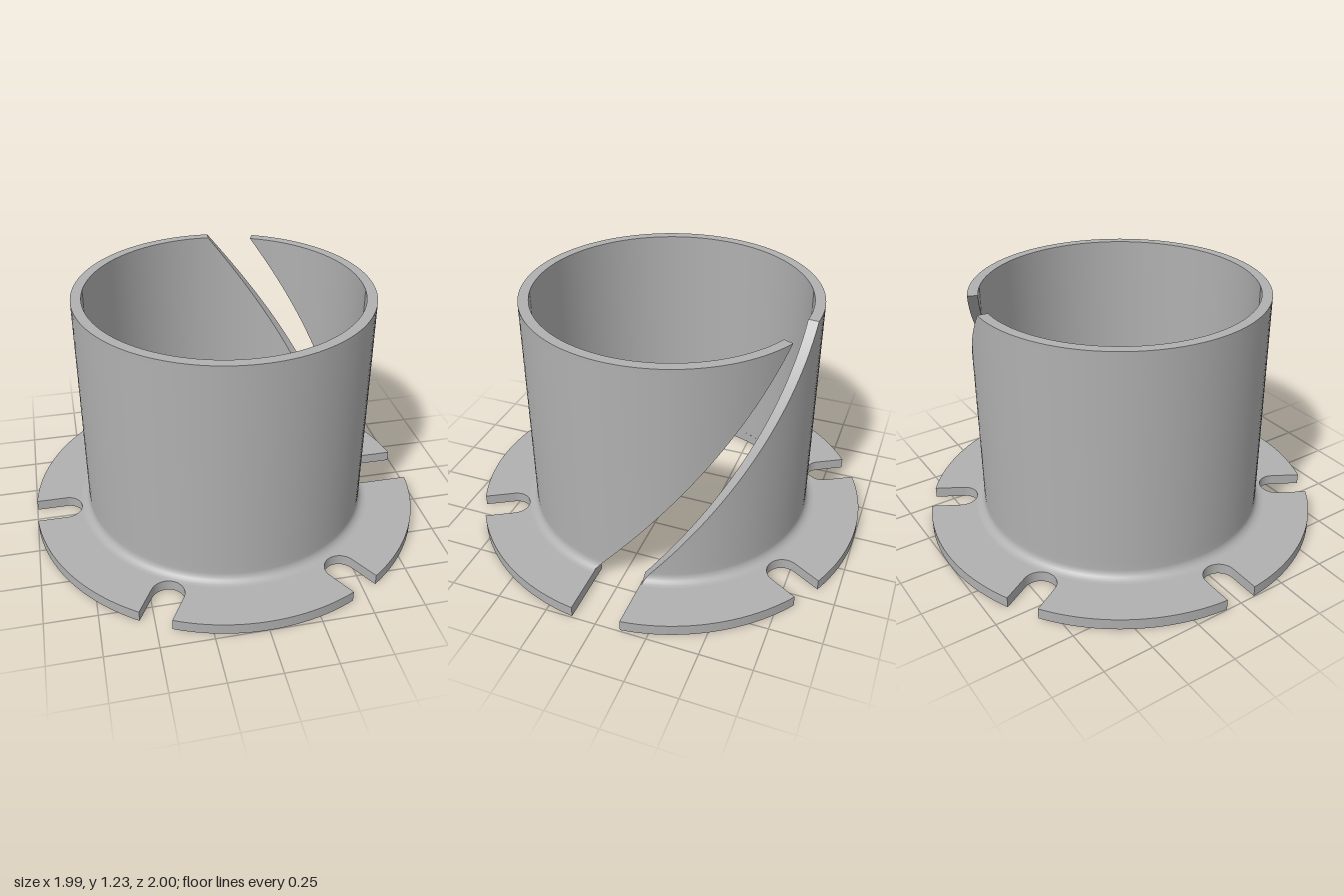
import * as THREE from 'three';
import { toCreasedNormals } from 'three/addons/utils/BufferGeometryUtils.js';

const INNER = 0.67, OUTER = 0.72, TOP = 1.225, PLATE = 0.055, FILLET = 0.045;
const HALF_SLOT = 0.168;   // half the slot's angle on the sleeve
const TWIST = 1.32;        // how far the slot winds from plate to rim

// Grid surface whose front faces along (u direction) x (v direction)
function gridSurface(cols, rows, point) {
  const positions = [], index = [];
  for (let j = 0; j <= rows; j++) {
    for (let i = 0; i <= cols; i++) positions.push(...point(i / cols, j));
  }
  for (let j = 0; j < rows; j++) {
    for (let i = 0; i < cols; i++) {
      const a = j * (cols + 1) + i, b = a + 1, c = a + cols + 1, d = c + 1;
      index.push(a, b, d, a, d, c);
    }
  }
  const geometry = new THREE.BufferGeometry();
  geometry.setAttribute('position', new THREE.Float32BufferAttribute(positions, 3));
  geometry.setIndex(index);
  geometry.computeVertexNormals();
  return geometry;
}

// Point on the sleeve: u runs round from one slot edge to the other
function sleevePoint(u, r, y) {
  const twist = TWIST * (y - PLATE) / (TOP - PLATE);
  const angle = twist + HALF_SLOT + u * (2 * Math.PI - 2 * HALF_SLOT);
  return [r * Math.cos(angle), y, -r * Math.sin(angle)];
}

// Flange outline: a C with a wide gap and five round-ended notches
function flangeShape() {
  const shape = new THREE.Shape();
  const gap = 0.12, half = 0.081, end = 0.846;
  const notch = Math.asin(half);
  let from = Math.asin(gap);
  for (let k = 1; k <= 5; k++) {
    const a = k * Math.PI / 3;
    shape.absarc(0, 0, 1, from, a - notch, false);
    shape.absarc(end * Math.cos(a), end * Math.sin(a), half, a - Math.PI / 2, a - 1.5 * Math.PI, true);
    from = a + notch;
  }
  shape.absarc(0, 0, 1, from, 2 * Math.PI - Math.asin(gap), false);
  const inner = Math.asin(gap / INNER);
  shape.absarc(0, 0, INNER, 2 * Math.PI - inner, inner, true);
  shape.closePath();
  return shape;
}

export function createModel() {
  const model = new THREE.Group();
  const metal = new THREE.MeshStandardMaterial({ color: 0xb0b0b0 });
  metal.name = 'plain grey';

  const add = (name, geometry, parent) => {
    const mesh = new THREE.Mesh(geometry, metal);
    mesh.name = name;
    parent.add(mesh);
  };

  // Notched flange plate
  const plate = new THREE.ExtrudeGeometry(flangeShape(), { depth: PLATE, bevelEnabled: false, curveSegments: 48 });
  plate.rotateX(-Math.PI / 2);
  add('flange', toCreasedNormals(plate, 0.6), model);

  // Outer profile: fillet off the plate, then straight up
  const outer = [];
  for (let k = 0; k <= 6; k++) {
    const t = k / 6 * Math.PI / 2;
    outer.push([OUTER + FILLET - FILLET * Math.sin(t), PLATE + FILLET - FILLET * Math.cos(t)]);
  }
  const base = PLATE + FILLET, steps = 32;
  for (let k = 1; k <= steps; k++) outer.push([OUTER, base + (TOP - base) * k / steps]);
  const inner = outer.map(([, y]) => [INNER, y]).reverse();
  const rim = [[OUTER, TOP], [INNER, TOP]];

  // Sleeve skins, swept round between the helical slot edges
  const sleeve = new THREE.Group();
  sleeve.name = 'sleeve';
  model.add(sleeve);
  const skin = (name, profile) => add(name,
    gridSurface(144, profile.length - 1, (u, j) => sleevePoint(u, ...profile[j])), sleeve);
  skin('outerWall', outer);
  skin('topRim', rim);
  skin('innerWall', inner);

  // Slot side walls
  const side = (name, u, flip) => add(name, gridSurface(1, outer.length - 1, (s, j) => {
    const [r, y] = outer[j];
    const t = flip ? 1 - s : s;
    return sleevePoint(u, INNER + (r - INNER) * t, y);
  }), sleeve);
  side('slotUpperSide', 0, false);
  side('slotLowerSide', 1, true);

  return model;
}
